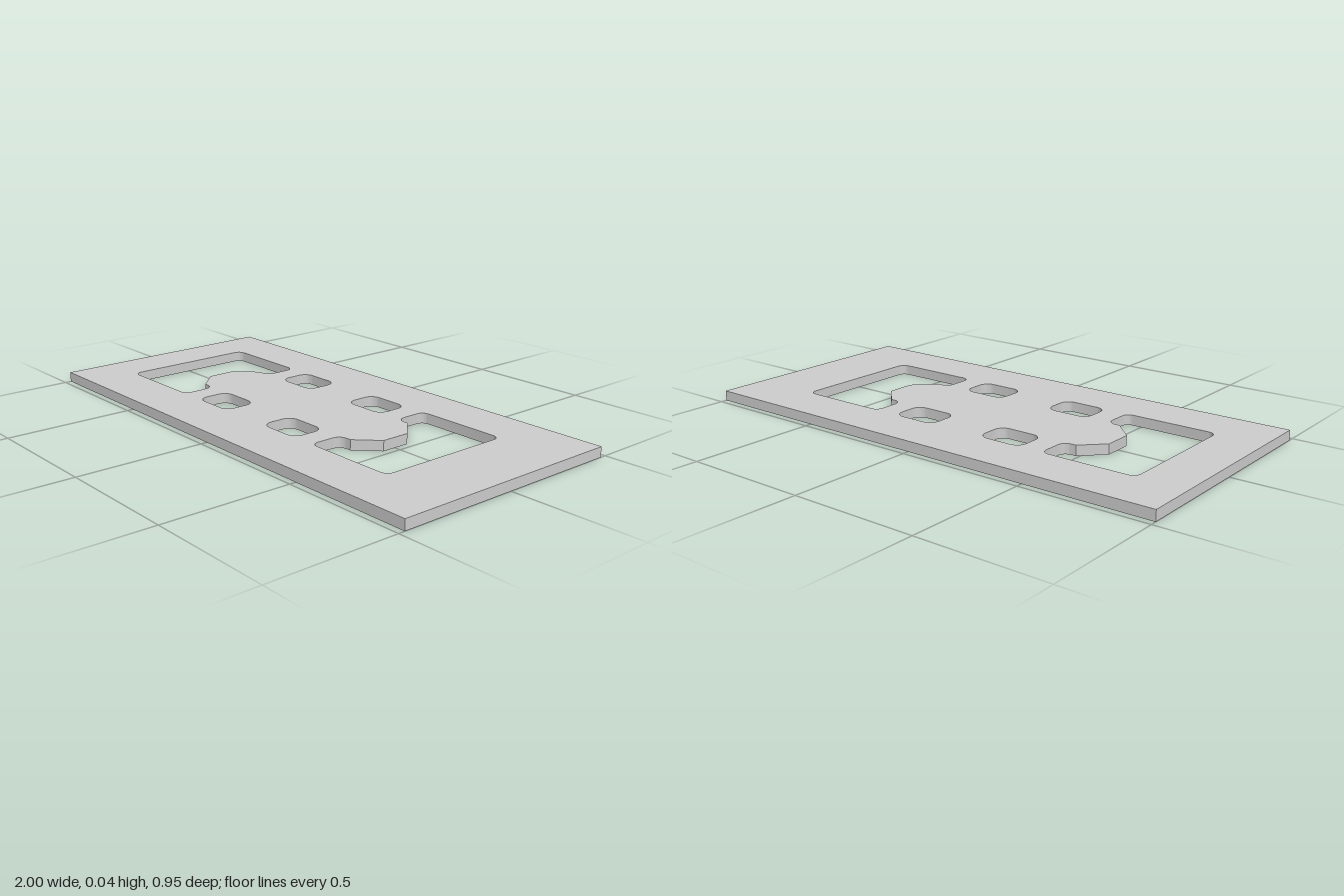
import * as THREE from 'three';
import { toCreasedNormals } from 'three/addons/utils/BufferGeometryUtils.js';

const HALF_DEPTH = 0.475, THICKNESS = 0.04;
const MID_X = -0.048, MID_Y = 0.003; // centre of the cut-out pattern

// Closed path through [x, y, radius] corners; radius 0 keeps the corner sharp
function roundedPath(corners) {
  const path = new THREE.Path();
  const n = corners.length;
  corners.forEach(([x, y, r], i) => {
    const p = new THREE.Vector2(x, y);
    const toward = (c, d) => new THREE.Vector2(c[0], c[1]).sub(p).setLength(d).add(p);
    const prev = corners[(i + n - 1) % n], next = corners[(i + 1) % n];
    const a = toward(prev, r), b = toward(next, r);
    if (i === 0) path.moveTo(a.x, a.y);
    else path.lineTo(a.x, a.y);
    if (r > 0) {
      const c1 = toward(prev, r * 0.448), c2 = toward(next, r * 0.448);
      path.bezierCurveTo(c1.x, c1.y, c2.x, c2.y, b.x, b.y);
    }
  });
  path.closePath();
  return path;
}

export function createModel() {
  const plate = new THREE.Shape();
  plate.moveTo(-1, -HALF_DEPTH);
  plate.lineTo(1, -HALF_DEPTH);
  plate.lineTo(1, HALF_DEPTH);
  plate.lineTo(-1, HALF_DEPTH);
  plate.closePath();

  // Half outline of a large window, measured from the pattern centre:
  // outer corner, inner corner, then the faceted tongue
  const half = [
    [0.762, 0.275, 0.03],
    [0.387, 0.275, 0.03],
    [0.387, 0.141, 0.035],
    [0.44, 0.141, 0],
    [0.522, 0.058, 0],
  ];
  const windowCorners = [...half, ...half.map(([x, y, r]) => [x, -y, r]).reverse()];

  for (const sx of [-1, 1]) {
    plate.holes.push(roundedPath(
      windowCorners.map(([x, y, r]) => [MID_X + sx * x, MID_Y + y, r])));

    // Pair of small rounded slots
    for (const sy of [-1, 1]) {
      const slot = [[0.111, 0.141], [0.294, 0.141], [0.294, 0.275], [0.111, 0.275]];
      plate.holes.push(roundedPath(
        slot.map(([x, y]) => [MID_X + sx * x, MID_Y + sy * y, 0.04])));
    }
  }

  const extruded = new THREE.ExtrudeGeometry(plate, {
    depth: THICKNESS, bevelEnabled: false, curveSegments: 8,
  });
  extruded.rotateX(-Math.PI / 2);

  const mesh = new THREE.Mesh(
    toCreasedNormals(extruded, Math.PI / 6),
    new THREE.MeshStandardMaterial({ color: 0xcccccc }));
  mesh.name = 'slottedPlate';

  const group = new THREE.Group();
  group.name = 'mountingPlate';
  group.add(mesh);
  return group;
}
